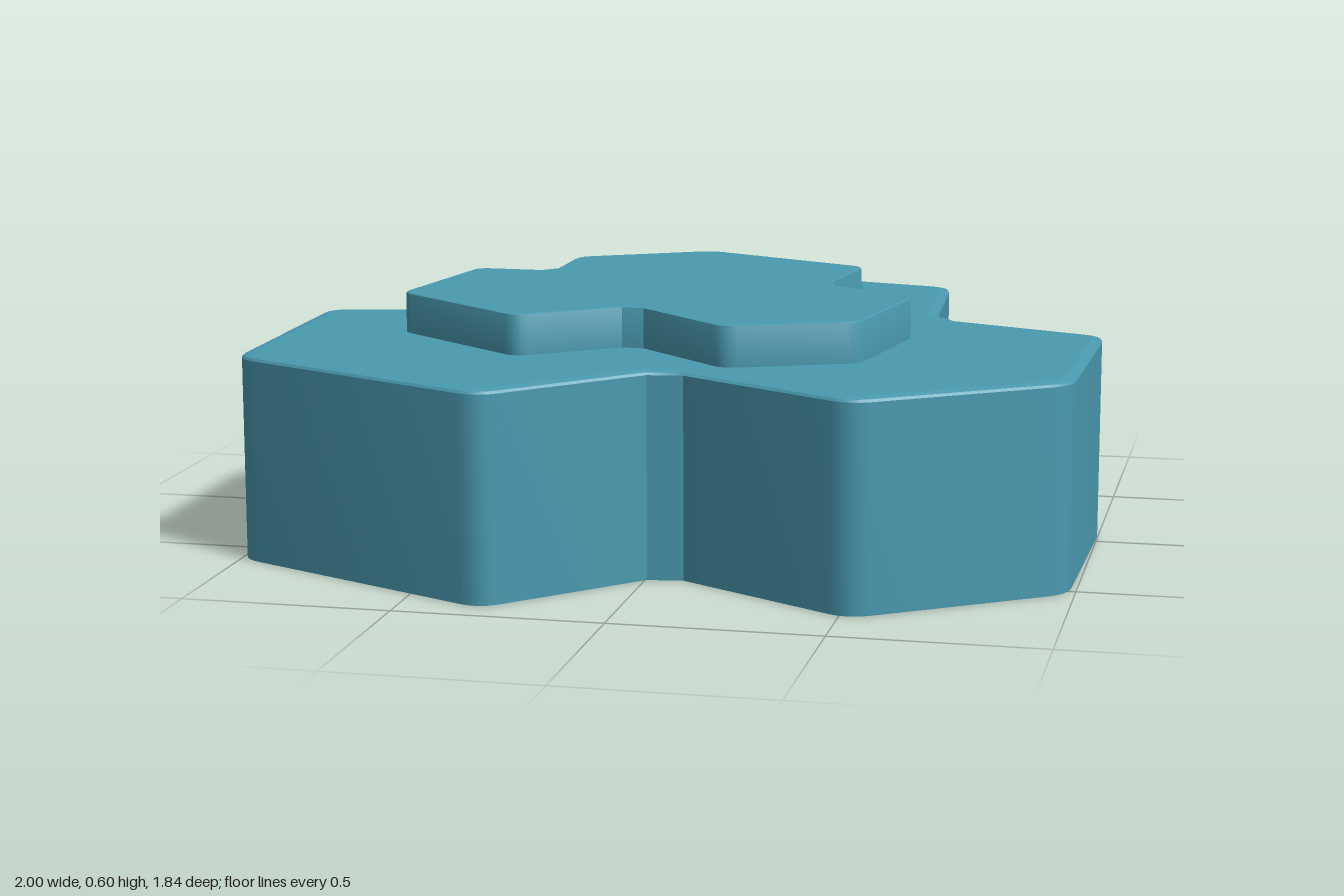
import * as THREE from 'three';
import { mergeGeometries, toCreasedNormals } from 'three/addons/utils/BufferGeometryUtils.js';

// Sharp corners as [x, z], clockwise seen from above
const SLAB = [
  [-0.242, -0.936], [0.525, -0.772], [0.558, -0.265], [1.0, -0.103], [0.985, 0.526], [0.522, 0.843],
  [0.042, 0.567], [-0.311, 0.933], [-0.998, 0.613], [-1.0, -0.08], [-0.683, -0.138], [-0.742, -0.558],
];
const PLATEAU = [
  [-0.1, -0.615], [0.345, -0.427], [0.3, -0.125], [0.543, 0.027], [0.473, 0.405], [0.17, 0.535],
  [-0.095, 0.3], [-0.345, 0.49], [-0.707, 0.22], [-0.634, -0.195], [-0.43, -0.195], [-0.427, -0.437],
];

// Round the outward corners and cut the inward corners flat
function roundOutline(corners, cut) {
  const pts = corners.map(([x, z]) => new THREE.Vector2(x, z));
  const n = pts.length;
  return pts.flatMap((p, i) => {
    const toPrev = pts[(i + n - 1) % n].clone().sub(p).normalize();
    const toNext = pts[(i + 1) % n].clone().sub(p).normalize();
    const outward = toNext.cross(toPrev) > 0;
    const a = p.clone().addScaledVector(toPrev, cut);
    const b = p.clone().addScaledVector(toNext, cut);
    return outward ? new THREE.QuadraticBezierCurve(a, p, b).getPoints(4) : [a, b];
  });
}

// Shrink an outline by a small distance along its mitred corner normals
function inset(pts, d) {
  const n = pts.length;
  return pts.map((p, i) => {
    const t1 = p.clone().sub(pts[(i + n - 1) % n]).normalize();
    const t2 = pts[(i + 1) % n].clone().sub(p).normalize();
    const m = new THREE.Vector2(t1.y + t2.y, -t1.x - t2.x).normalize();
    const scale = 1 / (m.x * t1.y - m.y * t1.x);
    return p.clone().addScaledVector(m, -d * scale);
  });
}

function geometryFrom(positions) {
  const g = new THREE.BufferGeometry();
  g.setAttribute('position', new THREE.Float32BufferAttribute(positions, 3));
  g.computeVertexNormals();
  return g;
}

// Prism from y0 to y1 with a soft top rim
function softPrism(outline, y0, y1, rimWidth, rimHeight) {
  const rows = [
    [y0, 0], [y1 - rimHeight, 0], [y1 - rimHeight * 0.4, rimWidth * 0.18], [y1, rimWidth],
  ].map(([y, d]) => inset(outline, d).map((p) => [p.x, y, p.y]));
  const n = outline.length;

  const wall = [];
  for (let r = 0; r < rows.length - 1; r++) {
    for (let i = 0; i < n; i++) {
      const j = (i + 1) % n;
      const a = rows[r][i], b = rows[r][j], c = rows[r + 1][j], d = rows[r + 1][i];
      wall.push(...a, ...c, ...b, ...a, ...d, ...c);
    }
  }

  const caps = [];
  const top = rows[rows.length - 1], bottom = rows[0];
  for (const [a, b, c] of THREE.ShapeUtils.triangulateShape(outline, [])) {
    caps.push(...top[a], ...top[c], ...top[b], ...bottom[a], ...bottom[b], ...bottom[c]);
  }
  return mergeGeometries([toCreasedNormals(geometryFrom(wall), 0.6), geometryFrom(caps)]);
}

export function createModel() {
  const group = new THREE.Group();
  group.name = 'steppedRock';
  const teal = new THREE.MeshStandardMaterial({ color: 0x4a9ab0 });
  teal.name = 'teal';

  // Thick three-lobed base
  const slab = new THREE.Mesh(softPrism(roundOutline(SLAB, 0.055), 0, 0.5, 0.025, 0.01), teal);
  slab.name = 'baseSlab';

  // Thin raised step on top
  const plateau = new THREE.Mesh(softPrism(roundOutline(PLATEAU, 0.035), 0.5, 0.6, 0.006, 0.005), teal);
  plateau.name = 'raisedPlateau';

  group.add(slab, plateau);
  return group;
}
